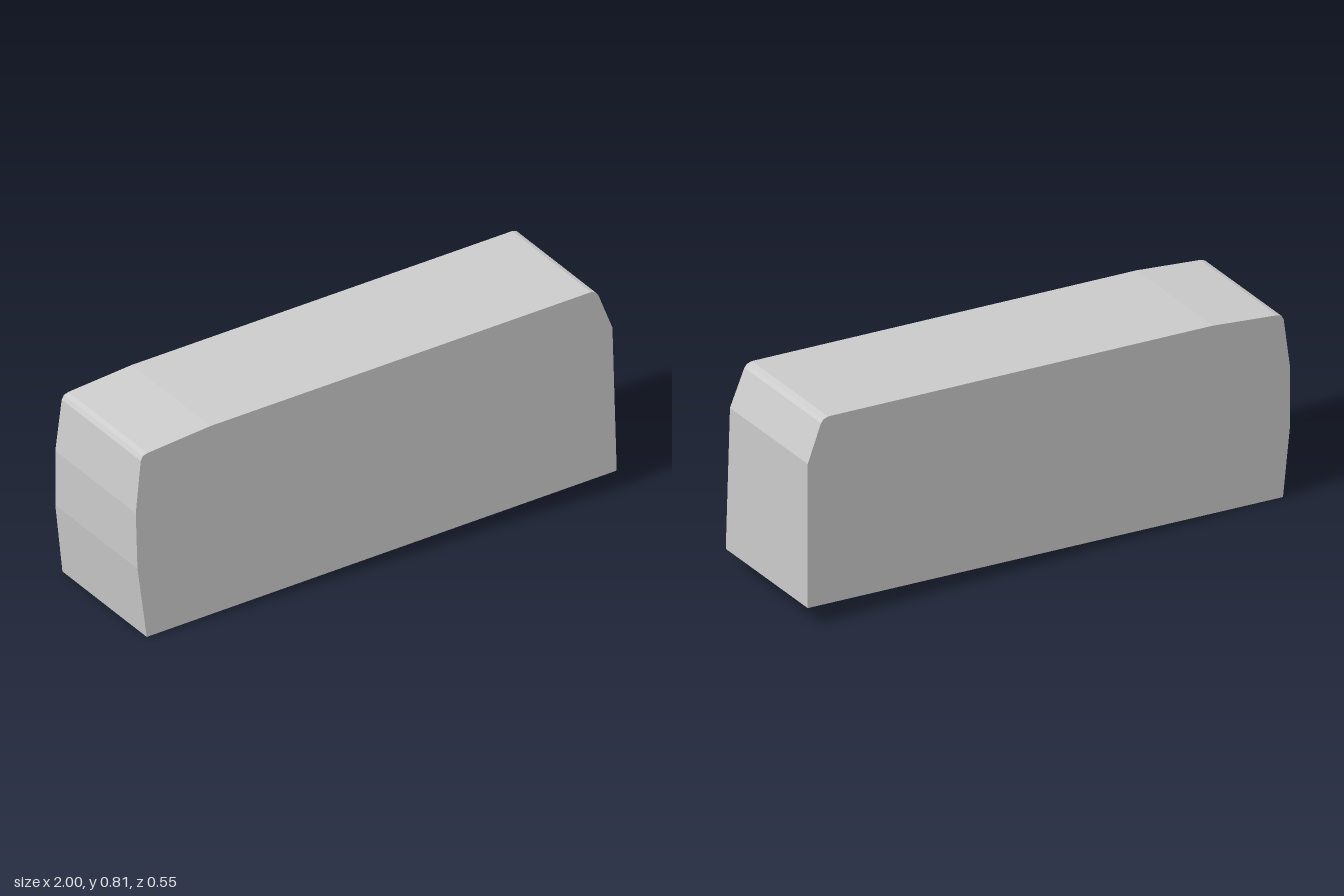
import * as THREE from 'three';

// Side outline of the block, counter-clockwise from the lower left corner
const OUTLINE = [
  [-0.97, 0], [1, 0.072], [1, 0.64], [0.945, 0.787], [0.934, 0.8], [0.915, 0.806],
  [-0.68, 0.751], [-0.945, 0.723], [-0.964, 0.716], [-0.973, 0.7], [-1, 0.5], [-1, 0.28],
];
const HALF_DEPTH = 0.277;
const DRAFT = 0.05; // lean of the front face per unit of height

export function createModel() {
  const group = new THREE.Group();
  group.name = 'block';

  const shape = new THREE.Shape(OUTLINE.map(([x, y]) => new THREE.Vector2(x, y)));
  const geometry = new THREE.ExtrudeGeometry(shape, { depth: 2 * HALF_DEPTH, bevelEnabled: false });
  geometry.translate(0, 0, -HALF_DEPTH);

  // Lean the front face back with height above the sloping base
  const pos = geometry.attributes.position;
  for (let i = 0; i < pos.count; i++) {
    if (pos.getZ(i) < 0) continue;
    const height = pos.getY(i) - 0.0365 * (pos.getX(i) + 0.97);
    pos.setZ(i, HALF_DEPTH - DRAFT * height);
  }
  geometry.computeVertexNormals();

  const body = new THREE.Mesh(
    geometry,
    new THREE.MeshStandardMaterial({ color: 0xcccccc, flatShading: true })
  );
  body.name = 'blockBody';
  group.add(body);
  return group;
}
